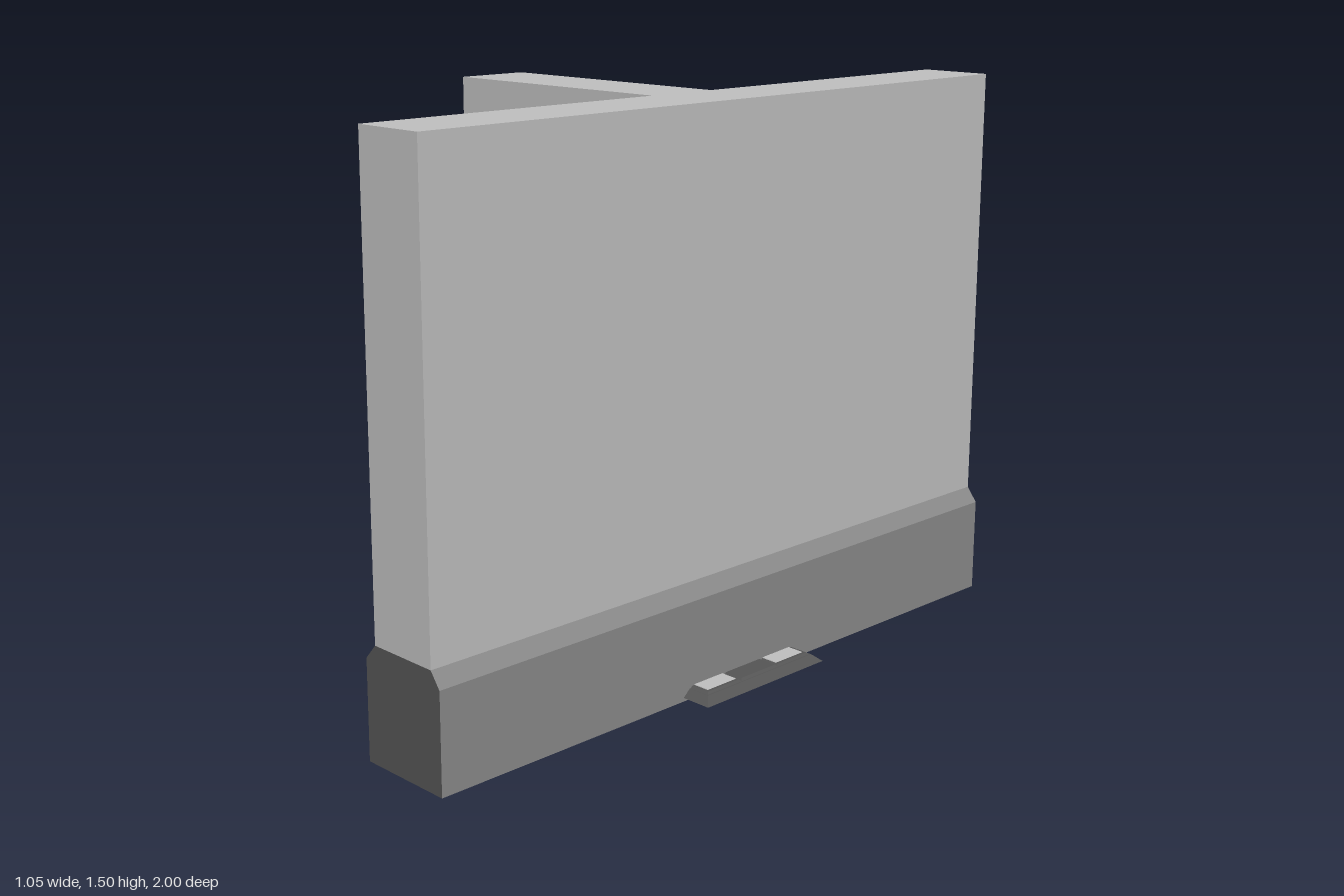
import * as THREE from 'three';

const H = 1.5, SKIRT = 0.26, LIP = 0.3;      // wall top, skirting top, top of skirting bevel
const CX = 0.305, END = -0.53;               // centre line of main wall, open end of branch

const mat = (name, color) =>
  new THREE.MeshStandardMaterial({ name, color, side: THREE.DoubleSide, flatShading: true });

// Sheet stretched over rows of points, each row running round the plan
function sheet(rows) {
  const p = [];
  for (let r = 0; r < rows.length - 1; r++) {
    for (let i = 0; i < rows[r].length - 1; i++) {
      const a = rows[r][i], b = rows[r][i + 1], c = rows[r + 1][i + 1], d = rows[r + 1][i];
      p.push(...a, ...d, ...b, ...b, ...d, ...c);
    }
  }
  const g = new THREE.BufferGeometry();
  g.setAttribute('position', new THREE.Float32BufferAttribute(p, 3));
  g.computeVertexNormals();
  return g;
}

// Level rows at height y from [x, z] plan points
const level = (plan, y) => plan.map(([x, z]) => [x, y, z]);

// Block with a rectangular base and a smaller top
function bevelBlock(w, d, h, inset) {
  const g = new THREE.BoxGeometry(w, h, d).toNonIndexed();
  const p = g.attributes.position;
  for (let i = 0; i < p.count; i++) {
    if (p.getY(i) > 0) {
      p.setX(i, p.getX(i) - Math.sign(p.getX(i)) * inset);
      p.setZ(i, p.getZ(i) - Math.sign(p.getZ(i)) * inset);
    }
  }
  g.translate(0, h / 2, 0);
  g.computeVertexNormals();
  return g;
}

export function createModel() {
  const model = new THREE.Group();
  model.name = 'wallJunction';
  const light = mat('lightPanel', 0xc0c0c0);
  const mid = mat('greySkirting', 0x8a8a8a);
  const dark = mat('darkTrim', 0x555555);

  const add = (parent, name, geo, material, x = 0, y = 0, z = 0) => {
    const m = new THREE.Mesh(geo, material);
    m.name = name;
    m.position.set(x, y, z);
    parent.add(m);
    return m;
  };

  // Plans: back half of the T, then the far side, front end and front half
  const plan = (l, r, zEnd, zJoin) => ({
    back: [[END, -zEnd], [l, -zJoin], [l, -1]],
    side: [[r, -1], [r, 1]],
    end: [[r, 1], [l, 1]],
    front: [[l, 1], [l, zJoin], [END, zEnd]],
  });
  const wall = plan(0.205, 0.41, 0.105, 0.105);
  const foot = plan(0.17, 0.44, 0.132, 0.112);

  // Hollow walls and skirting, left open at the back and at the branch end
  for (const key of ['back', 'side', 'end', 'front']) {
    add(model, key + 'Wall', sheet([level(wall[key], LIP), level(wall[key], H)]), light);
    add(model, key + 'Skirting',
      sheet([level(foot[key], 0), level(foot[key], SKIRT), level(wall[key], LIP)]),
      key === 'end' ? dark : mid);
  }

  // T-shaped cap
  const tee = new THREE.Shape([
    [END, -0.105], [0.205, -0.105], [0.205, -1], [0.41, -1],
    [0.41, 1], [0.205, 1], [0.205, 0.105], [END, 0.105],
  ].map(([x, y]) => new THREE.Vector2(x, y)));
  add(model, 'topCap', new THREE.ShapeGeometry(tee).rotateX(-Math.PI / 2), light, 0, H, 0);

  // Floor tile under the junction
  const tile = new THREE.Group();
  tile.name = 'floorTile';
  tile.position.set(CX, 0.01, 0);
  model.add(tile);
  add(tile, 'tileBase', bevelBlock(0.44, 0.44, 0.019, 0.022), dark);
  for (const s of [-1, 1]) {
    add(tile, 'sideBlock', bevelBlock(0.126, 0.14, 0.006, 0.006), dark, s * 0.132, 0.019, 0);
    add(tile, 'endBlock', bevelBlock(0.14, 0.126, 0.006, 0.006), dark, 0, 0.019, s * 0.132);
    for (const t of [-1, 1]) {
      add(tile, 'cornerRim', bevelBlock(0.126, 0.126, 0.005, 0.006), dark, s * 0.132, 0.019, t * 0.132);
      add(tile, 'cornerPad', bevelBlock(0.108, 0.108, 0.006, 0.003), light, s * 0.129, 0.02, t * 0.129);
    }
    // Strips crossing the underside
    add(tile, 'underStripLong', new THREE.BoxGeometry(0.014, 0.003, 0.38), mid, s * 0.08, 0, 0);
    add(tile, 'underStripWide', new THREE.BoxGeometry(0.38, 0.003, 0.014), mid, 0, 0, s * 0.08);
  }
  add(tile, 'underCentre', new THREE.BoxGeometry(0.08, 0.003, 0.08), mid, 0, 0, 0);

  return model;
}
